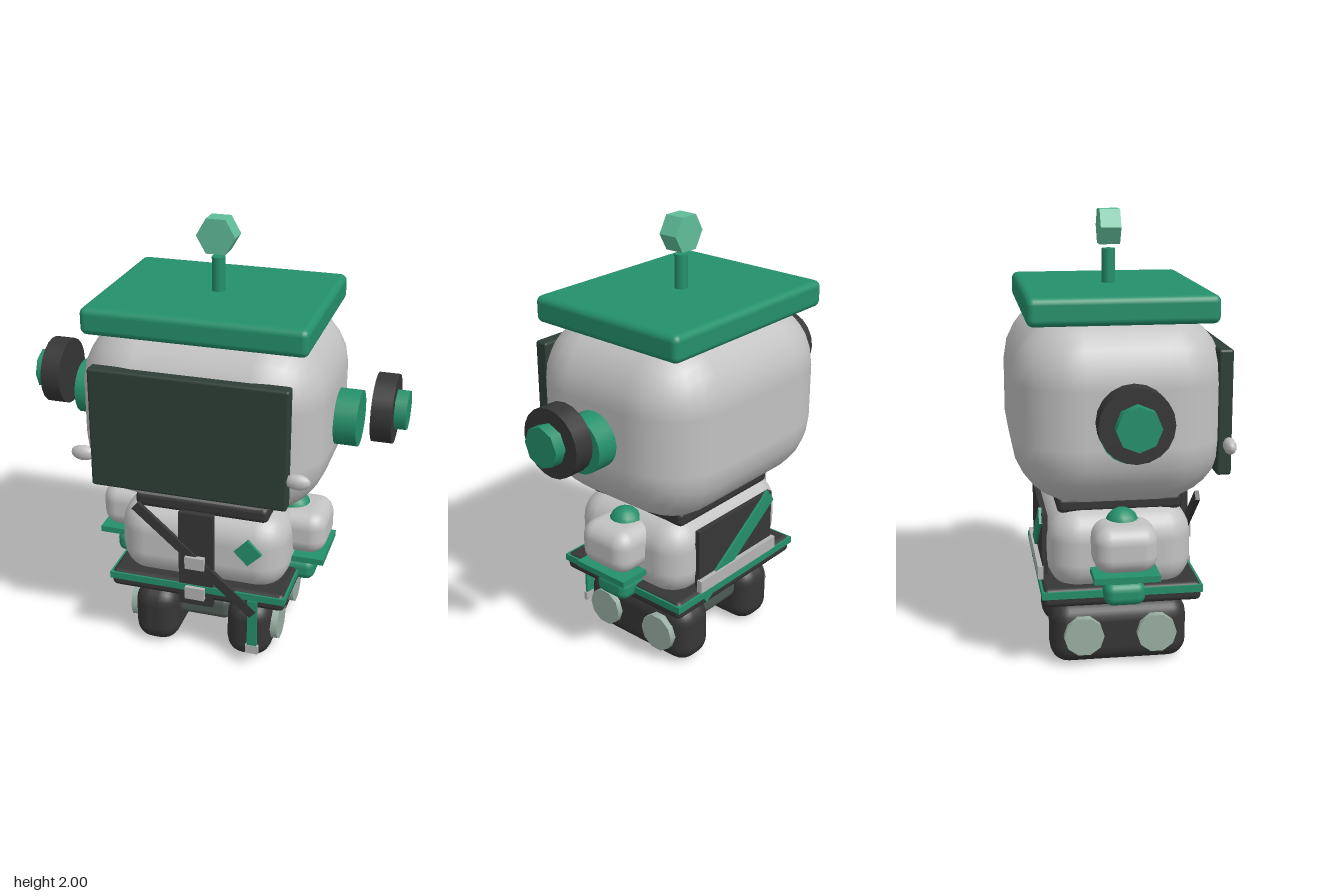
import * as THREE from 'three';
import { RoundedBoxGeometry } from 'three/addons/geometries/RoundedBoxGeometry.js';

const mat = (name, color, flatShading = false) => {
  const m = new THREE.MeshStandardMaterial({ color, flatShading });
  m.name = name;
  return m;
};

export function createModel() {
  const root = new THREE.Group();
  root.name = 'robot';

  const shell = mat('shell grey', 0xc2c2c2);
  const silver = mat('buckle silver', 0xb4b4b4);
  const green = mat('green', 0x24906b);
  const mint = mat('mint', 0x60bd9a);
  const dark = mat('charcoal', 0x363636);
  const screenGreen = mat('screen green', 0x2e3f37);
  const sage = mat('sage', 0x9aafa4);
  const slate = mat('slate green', 0x4e5b55);

  const add = (name, geometry, material, x, y, z, parent = root) => {
    const m = new THREE.Mesh(geometry, material);
    m.name = name;
    m.position.set(x, y, z);
    parent.add(m);
    return m;
  };
  const rounded = (w, h, d, r, seg = 3) => new RoundedBoxGeometry(w, h, d, seg, r);
  const box = (w, h, d) => new THREE.BoxGeometry(w, h, d);
  // cylinder lying along the x axis
  const disc = (r, length, sides) => new THREE.CylinderGeometry(r, r, length, sides).rotateZ(Math.PI / 2);
  // thin flat strip between two points in a plane of constant z
  const strip = (name, a, b, width, z, depth, material) => {
    const dx = b[0] - a[0], dy = b[1] - a[1];
    const m = add(name, box(Math.hypot(dx, dy), width, depth), material, (a[0] + b[0]) / 2, (a[1] + b[1]) / 2, z);
    m.rotation.z = Math.atan2(dy, dx);
    return m;
  };

  // Head, cap and screen
  add('head', rounded(1.1, 0.83, 0.92, 0.29), shell, 0, 1.18, -0.005);
  add('cap', rounded(0.98, 0.12, 0.8, 0.03), green, 0, 1.62, -0.007);
  add('screen', rounded(0.87, 0.545, 0.065, 0.012, 2), screenGreen, 0, 1.172, 0.43);

  // Antenna
  add('antennaStalk', new THREE.CylinderGeometry(0.03, 0.03, 0.16, 12), green, 0, 1.75, -0.007);
  const knob = new THREE.CylinderGeometry(0.087, 0.087, 0.09, 6).rotateY(Math.PI / 6).rotateX(Math.PI / 2);
  const mintFlat = mint;
  mintFlat.flatShading = true;
  add('antennaKnob', knob, mintFlat, 0, 1.925, -0.007);

  // Neck and torso
  add('neck', rounded(0.62, 0.075, 0.55, 0.025, 2), dark, 0, 0.752, 0);
  add('torso', rounded(0.79, 0.38, 0.64, 0.14), shell, 0, 0.55, 0);

  // Skirt with a green rim, and the hip plate beneath it
  add('skirt', rounded(0.82, 0.085, 0.7, 0.025, 2), dark, 0, 0.362, 0);
  add('skirtRim', box(0.828, 0.032, 0.71), green, 0, 0.378, 0);
  add('hipPlate', box(0.62, 0.05, 0.5), sage, 0, 0.315, 0);
  add('axleBlock', rounded(0.26, 0.115, 0.5, 0.035, 2), slate, 0, 0.213, 0);

  // Parts mirrored on both sides
  for (const s of [-1, 1]) {
    const side = new THREE.Group();
    side.name = s > 0 ? 'leftSide' : 'rightSide';
    root.add(side);
    const put = (name, geo, material, x, y, z) => add(name, geo, material, s * x, y, z, side);

    // Ear
    put('earBase', disc(0.125, 0.2, 20), green, 0.55, 1.155, -0.007);
    put('earPad', disc(0.152, 0.09, 20), dark, 0.757, 1.22, -0.007);
    put('earCap', disc(0.091, 0.135, 8), green, 0.787, 1.22, -0.007);

    // Cheek knob
    put('cheekKnob', new THREE.SphereGeometry(1, 10, 8).rotateZ(Math.PI / 2).scale(0.055, 0.036, 0.027),
      shell, 0.475, 1.04, 0.442);

    // Arm
    put('shoulder', new THREE.SphereGeometry(0.075, 14, 10), green, 0.37, 0.68, 0);
    put('arm', rounded(0.24, 0.21, 0.28, 0.075), shell, 0.418, 0.602, 0);
    put('cuff', box(0.22, 0.028, 0.285), green, 0.43, 0.484, 0);
    put('wrist', box(0.11, 0.05, 0.11), green, 0.41, 0.455, 0);
    put('hand', rounded(0.17, 0.105, 0.18, 0.04), green, 0.4, 0.39, 0);

    // Tread and wheels
    put('tread', rounded(0.21, 0.29, 0.62, 0.085), dark, 0.224, 0.145, 0);
    for (const z of [-0.165, 0.162]) {
      put('wheel', disc(0.09, 0.07, 10), sage, 0.322, 0.152, z);
    }
  }

  // Chest straps, buckles and badge
  add('chestStrap', box(0.16, 0.47, 0.03), dark, 0, 0.523, 0.335);
  strip('sash', [-0.28, 0.765], [0.27, 0.29], 0.045, 0.35, 0.02, dark);
  for (const y of [0.518, 0.36]) {
    add('buckle', box(0.09, 0.06, 0.025), silver, 0, y, 0.362);
  }
  const badge = add('badge', box(0.09, 0.09, 0.02), green, 0.235, 0.588, 0.32);
  badge.rotation.z = Math.PI / 4;

  // Hanging ribbon
  add('ribbon', box(0.045, 0.25, 0.012), green, 0.267, 0.235, 0.352);
  add('ribbonTip', box(0.06, 0.042, 0.018), silver, 0.267, 0.102, 0.352);

  // Back panel with a diagonal ribbon and a cross bar
  add('backPanel', box(0.52, 0.28, 0.025), dark, 0, 0.56, -0.327);
  strip('backRibbon', [0.24, 0.36], [-0.24, 0.69], 0.075, -0.344, 0.014, green);
  add('backBar', box(0.54, 0.06, 0.025), silver, 0, 0.432, -0.348);

  return root;
}
